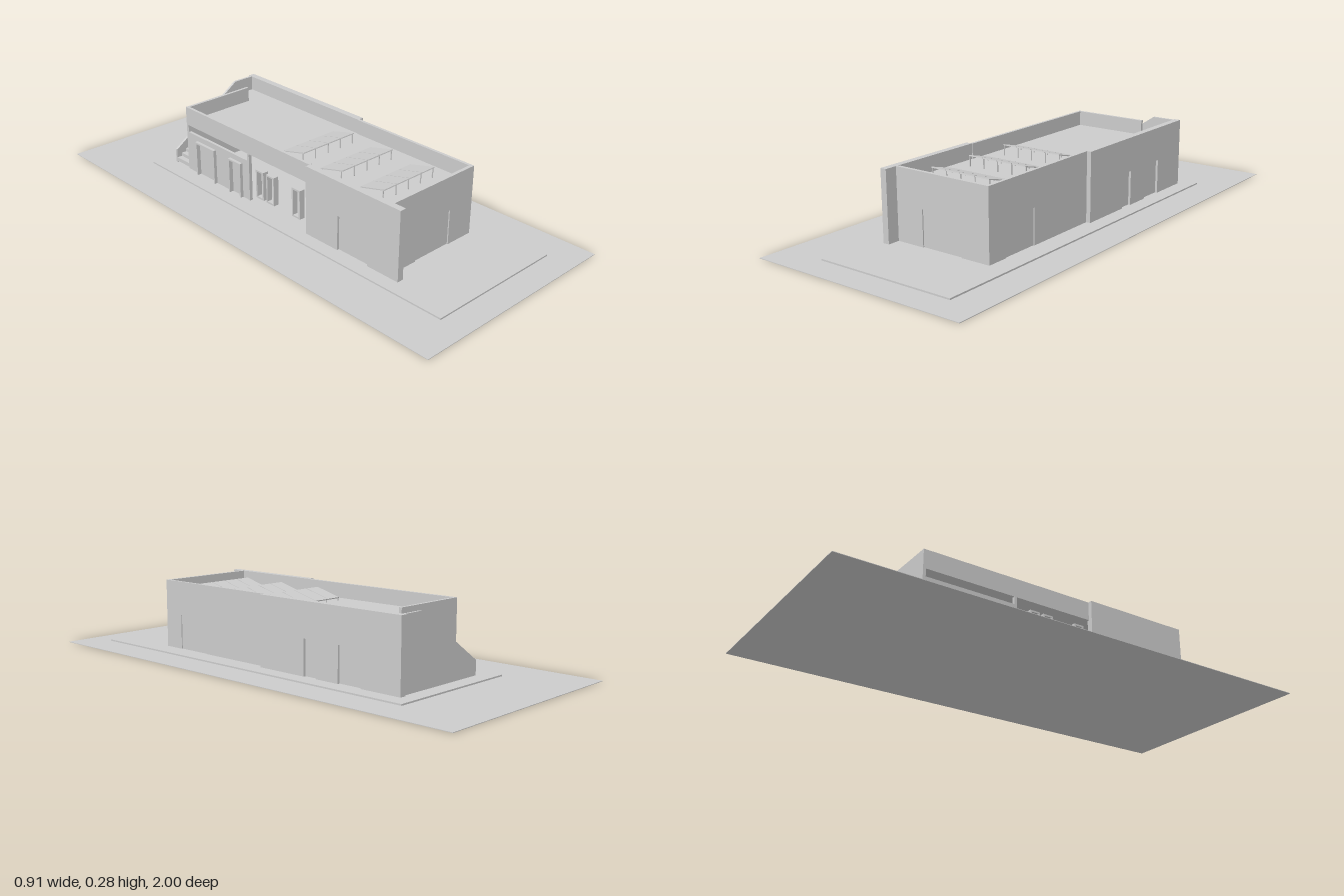
import * as THREE from 'three';

export function createModel() {
  const model = new THREE.Group();
  const grey = new THREE.MeshStandardMaterial({ color: 0xcccccc, flatShading: true });
  const BASE = 0.008, TOP = 0.285, ROOF = 0.225, DOOR = 0.148;

  function add(name, geometry, parent = model) {
    const mesh = new THREE.Mesh(geometry, grey);
    mesh.name = name;
    parent.add(mesh);
    return mesh;
  }

  // Box given by its limits on each axis
  function box(name, x0, x1, y0, y1, z0, z1, parent) {
    const g = new THREE.BoxGeometry(x1 - x0, y1 - y0, z1 - z0);
    g.translate((x0 + x1) / 2, (y0 + y1) / 2, (z0 + z1) / 2);
    return add(name, g, parent);
  }

  // Upright outline extruded along z, or turned to run along z with its thickness along x
  function upright(name, points, at, thick, alongZ) {
    const shape = new THREE.Shape(points.map(([u, v]) => new THREE.Vector2(u, v)));
    const g = new THREE.ExtrudeGeometry(shape, { depth: thick, bevelEnabled: false });
    if (alongZ) g.rotateY(-Math.PI / 2).translate(at + thick, 0, 0);
    else g.translate(0, 0, at);
    return add(name, g);
  }

  // Wall with door notches, each closed by a recessed door leaf
  function wall(name, from, to, at, thick, top, doors, alongZ) {
    const points = [[from, BASE]];
    for (const [a, b] of doors) points.push([a, BASE], [a, DOOR], [b, DOOR], [b, BASE]);
    points.push([to, BASE], [to, top], [from, top]);
    upright(name, points, at, thick, alongZ);
    const p = at + thick * 0.35, q = at + thick * 0.65;
    for (const [a, b] of doors) {
      if (alongZ) box('doorLeaf', p, q, BASE, DOOR, a, b);
      else box('doorLeaf', a, b, BASE, DOOR, p, q);
    }
  }

  // Site and plinth
  box('ground', -0.453, 0.453, 0, 0.002, -1, 1);
  box('plinth', -0.265, 0.318, 0.002, BASE, -0.7, 0.89);

  // Outer walls
  wall('frontWall', -0.183, 0.237, 0.586, 0.014, TOP, [[-0.063, 0.115]], false);
  wall('leftFrontWall', 0.025, 0.586, 0.225, 0.012, TOP, [[0.35, 0.51]], true);
  wall('leftRearWall', -0.645, 0.025, 0.228, 0.027, TOP, [[-0.47, -0.365], [-0.26, -0.2]], true);
  wall('rightFrontWall', 0.19, 0.65, -0.208, 0.026, TOP, [[0.355, 0.505]], true);

  // Right rear side: parapet band above a low wall and an open window front
  wall('rightLowWall', -0.547, -0.155, -0.19, 0.012, 0.177, [[-0.47, -0.365], [-0.26, -0.2]], true);
  box('rightParapet', -0.19, -0.178, 0.208, TOP, -0.547, 0.19);
  box('facadePost', -0.192, -0.178, BASE, 0.208, -0.16, -0.15);

  // Projecting frames around the right side doors and windows
  function frame(name, z0, z1, y0, y1, sill) {
    const f = new THREE.Group(), w = 0.007, x0 = -0.203, x1 = -0.18;
    f.name = name;
    box('jamb', x0, x1, y0, y1, z0 - w, z0, f);
    box('jamb', x0, x1, y0, y1, z1, z1 + w, f);
    box('head', x0, x1, y1, y1 + w, z0 - w, z1 + w, f);
    if (sill) box('sill', x0, x1, y0 - w, y0, z0 - w, z1 + w, f);
    model.add(f);
  }
  frame('doorFrame', -0.47, -0.365, BASE, DOOR, false);
  frame('doorFrame', -0.26, -0.2, BASE, DOOR, false);
  for (const z of [-0.09, -0.03, 0.115]) frame('windowFrame', z, z + 0.03, 0.055, 0.16, true);

  // Roof deck and stair landing
  box('roof', -0.18, 0.23, ROOF - 0.015, ROOF, -0.54, 0.59);
  box('stairLanding', 0.13, 0.23, ROOF - 0.015, ROOF, -0.627, -0.54);

  // Rear wall sloping down beside the stair, and the full wall behind the stair
  upright('rearStairWall', [[-0.19, BASE], [0.23, BASE], [0.23, TOP], [0.136, TOP], [-0.19, 0.065]],
    -0.637, 0.01, false);
  upright('rearInnerWall', [[-0.19, BASE], [0.228, BASE], [0.228, ROOF], [0.132, ROOF], [0.132, TOP], [-0.19, TOP]],
    -0.547, 0.012, false);

  // Stair treads
  const steps = 14, run = 0.32 / steps;
  for (let i = 0; i < steps; i++) {
    const x = -0.19 + i * run;
    const y = 0.03 + (i / steps) * (ROOF - 0.03);
    box('stairTread', x, x + run, y - 0.016, y, -0.627, -0.547);
  }

  // Three rows of tilted solar panels on legs
  const panelW = 0.064, depth = 0.115, lowY = 0.238, highY = 0.268;
  const tilt = Math.atan2(highY - lowY, depth);
  for (const z0 of [-0.035, 0.17, 0.375]) {
    const row = new THREE.Group();
    row.name = 'solarPanelRow';
    for (let i = 0; i < 4; i++) {
      const panel = add('solarPanel', new THREE.BoxGeometry(panelW, 0.004, Math.hypot(depth, highY - lowY)), row);
      panel.position.set(-0.083 + i * 0.0667, (lowY + highY) / 2, z0 + depth / 2);
      panel.rotation.x = -tilt;
    }
    for (let i = 0; i < 5; i++) {
      const x = -0.115 + i * 0.0655;
      box('rearLeg', x - 0.0015, x + 0.0015, ROOF, lowY, z0 + 0.004, z0 + 0.008, row);
      box('frontLeg', x - 0.0015, x + 0.0015, ROOF, highY - 0.002, z0 + depth - 0.008, z0 + depth - 0.004, row);
    }
    model.add(row);
  }
  return model;
}
